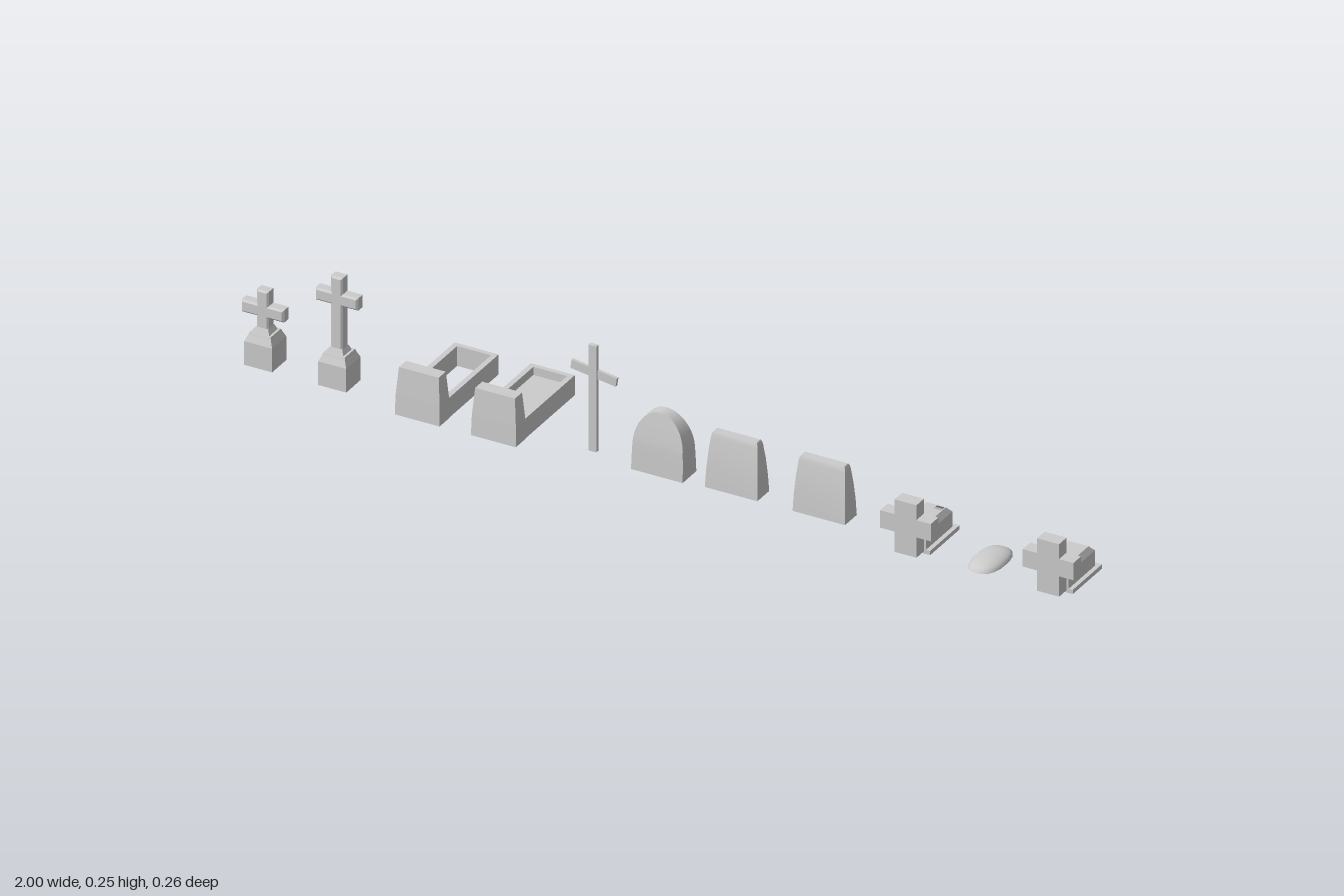
import * as THREE from 'three';

const stone = new THREE.MeshStandardMaterial({ color: 0xcccccc, side: THREE.DoubleSide });
const flat = new THREE.MeshStandardMaterial({ color: 0xcccccc, side: THREE.DoubleSide, flatShading: true });

function add(parent, name, geometry, material = flat, x = 0, y = 0, z = 0) {
  const mesh = new THREE.Mesh(geometry, material);
  mesh.name = name;
  mesh.position.set(x, y, z);
  parent.add(mesh);
  return mesh;
}

function group(parent, name, x, z = 0) {
  const g = new THREE.Group();
  g.name = name;
  g.position.set(x, 0, z);
  parent.add(g);
  return g;
}

// Open-bottomed stack of rectangles [y, halfWidth, halfDepth, zShift];
// each of the four sides is smooth along its height, corners stay sharp
function loft(sections, capped = true) {
  const pos = [], index = [];
  const corners = [[1, 1], [1, -1], [-1, -1], [-1, 1]];
  const put = (s, c) => pos.push(c[0] * s[1], s[0], c[1] * s[2] + (s[3] || 0));
  for (let k = 0; k < 4; k++) {
    const start = pos.length / 3;
    for (const s of sections) {
      put(s, corners[k]);
      put(s, corners[(k + 1) % 4]);
    }
    for (let i = 0; i < sections.length - 1; i++) {
      const a = start + i * 2;
      index.push(a, a + 1, a + 2, a + 1, a + 3, a + 2);
    }
  }
  if (capped) {
    const top = pos.length / 3;
    corners.forEach(c => put(sections[sections.length - 1], c));
    index.push(top, top + 1, top + 2, top, top + 2, top + 3);
  }
  const g = new THREE.BufferGeometry();
  g.setAttribute('position', new THREE.Float32BufferAttribute(pos, 3));
  g.setIndex(index);
  g.computeVertexNormals();
  return g;
}

function rect(target, x0, y0, x1, y1) {
  target.moveTo(x0, y0).lineTo(x1, y0).lineTo(x1, y1).lineTo(x0, y1).closePath();
  return target;
}

// Upright cross outline: post half width, arm half span, and heights
function crossShape(post, arm, bottom, armLow, armHigh, top) {
  const half = [[post, bottom], [post, armLow], [arm, armLow], [arm, armHigh], [post, armHigh], [post, top]];
  const mirrored = half.map(([x, y]) => [-x, y]).reverse();
  return new THREE.Shape([...half, ...mirrored].map(p => new THREE.Vector2(...p)));
}

// Cross on a chamfered pedestal
function pedestalCross(parent, x, armLow, armHigh, top) {
  const g = group(parent, 'pedestalCross', x, 0.06);
  add(g, 'pedestal', loft([[0, 0.033, 0.03], [0.056, 0.033, 0.03], [0.07, 0.027, 0.024], [0.076, 0.025, 0.022]]));
  add(g, 'postFoot', loft([[0.075, 0.02, 0.018], [0.088, 0.014, 0.013]]));
  const b = 0.004;
  const shape = crossShape(0.014 - b, 0.05 - b, 0.076, armLow + b, armHigh - b, top - b);
  const cross = new THREE.ExtrudeGeometry(shape, {
    depth: 0.018, bevelEnabled: true, bevelSize: b, bevelThickness: b, bevelSegments: 1
  });
  add(g, 'cross', cross, flat, 0, 0, -0.009);
}

// Rectangular grave border with a tapered headstone, optionally filled
function borderedGrave(parent, x, filled) {
  const g = group(parent, 'borderedGrave', x);
  const border = rect(new THREE.Shape(), -0.052, -0.085, 0.052, 0.131);
  border.holes.push(rect(new THREE.Path(), -0.04, -0.072, 0.04, 0.12));
  const frame = new THREE.ExtrudeGeometry(border, { depth: 0.047, bevelEnabled: false });
  add(g, 'graveBorder', frame.rotateX(-Math.PI / 2));
  add(g, 'headstone', loft([[0, 0.053, 0.022], [0.047, 0.052, 0.02], [0.11, 0.047, 0.015]]), flat, 0, 0, 0.099);
  if (filled) {
    add(g, 'graveFill', new THREE.PlaneGeometry(0.08, 0.192).rotateX(-Math.PI / 2), flat, 0, 0.028, -0.024);
  }
}

// Thin plain cross with a crooked arm
function plainCross(parent, x) {
  const g = group(parent, 'plainCross', x, 0.054);
  add(g, 'post', new THREE.BoxGeometry(0.019, 0.25, 0.01), flat, 0, 0.125, 0);
  add(g, 'arm', new THREE.BoxGeometry(0.108, 0.02, 0.007), flat, 0, 0.182, -0.004).rotation.z = -0.15;
}

// Round-topped stone, thinning toward the top
function archStone(parent, x) {
  const sections = [[0, 0.061, 0.029], [0.03, 0.0605, 0.0275]];
  for (let i = 0; i <= 10; i++) {
    const a = (i / 10) * Math.PI / 2;
    const rise = Math.sin(a);
    sections.push([0.06 + 0.082 * rise, Math.max(0.0595 * Math.cos(a), 0.001), 0.026 - 0.013 * Math.pow(rise, 1.2)]);
  }
  add(parent, 'archStone', loft(sections), stone, x, 0, 0.056);
}

// Tapered tablet with softened shoulders
function tablet(parent, x) {
  add(parent, 'tabletStone', loft([
    [0, 0.062, 0.025], [0.04, 0.0605, 0.0225], [0.08, 0.058, 0.018],
    [0.115, 0.055, 0.012], [0.123, 0.0535, 0.01], [0.127, 0.051, 0.008]
  ]), stone, x, 0, 0.052);
}

// Cross headstone with a chamfered tomb on a thin plate behind it
function tombWithCross(parent, x, broken) {
  const g = group(parent, 'crossTomb', x);
  const cross = new THREE.ExtrudeGeometry(crossShape(0.026, 0.06, 0.005, 0.053, 0.094, 0.129), {
    depth: 0.032, bevelEnabled: false
  });
  add(g, 'crossHeadstone', cross, flat, 0, 0, 0.101);
  const plate = rect(new THREE.Shape(), -0.041, -0.102, 0.041, 0.022);
  plate.holes.push(rect(new THREE.Path(), -0.026, -0.1, 0.026, 0.01));
  const plateGeo = new THREE.ExtrudeGeometry(plate, { depth: 0.01, bevelEnabled: false });
  add(g, 'basePlate', plateGeo.rotateX(-Math.PI / 2));
  const walls = loft([[0.005, 0.031, 0.056], [0.046, 0.031, 0.056], [0.06, 0.023, 0.049, 0.006]], false);
  add(g, 'tombWalls', walls, flat, 0, 0, 0.046);
  // The broken tomb has a chip missing from its lid
  const lid = rect(new THREE.Shape(), -0.023, -0.101, 0.023, -0.003);
  if (broken) lid.holes.push(rect(new THREE.Path(), 0.003, -0.02, 0.021, -0.005));
  add(g, 'tombLid', new THREE.ShapeGeometry(lid).rotateX(-Math.PI / 2), flat, 0, 0.06, 0);
}

// Low oval mound with a slightly squared plan
function mound(parent, x) {
  const dome = new THREE.SphereGeometry(1, 20, 6, 0, Math.PI * 2, 0, Math.PI / 2);
  const p = dome.attributes.position;
  for (let i = 0; i < p.count; i++) {
    const px = p.getX(i), pz = p.getZ(i);
    const r = Math.hypot(px, pz);
    const squared = Math.pow(Math.abs(px) ** 2.5 + Math.abs(pz) ** 2.5, 1 / 2.5);
    const k = r > 1e-6 ? r / squared : 1;
    p.setXYZ(i, px * k * 0.036, p.getY(i) * 0.018, pz * k * 0.061);
  }
  dome.computeVertexNormals();
  add(parent, 'mound', dome, stone, x, 0, 0.061);
}

export function createModel() {
  const model = new THREE.Group();
  model.name = 'graveyardSet';
  pedestalCross(model, -0.95, 0.112, 0.141, 0.175);
  pedestalCross(model, -0.775, 0.188, 0.217, 0.255);
  borderedGrave(model, -0.557, false);
  borderedGrave(model, -0.377, true);
  plainCross(model, -0.178);
  archStone(model, -0.011);
  tablet(model, 0.16);
  tablet(model, 0.367);
  tombWithCross(model, 0.603, true);
  mound(model, 0.764);
  tombWithCross(model, 0.94, false);
  return model;
}
